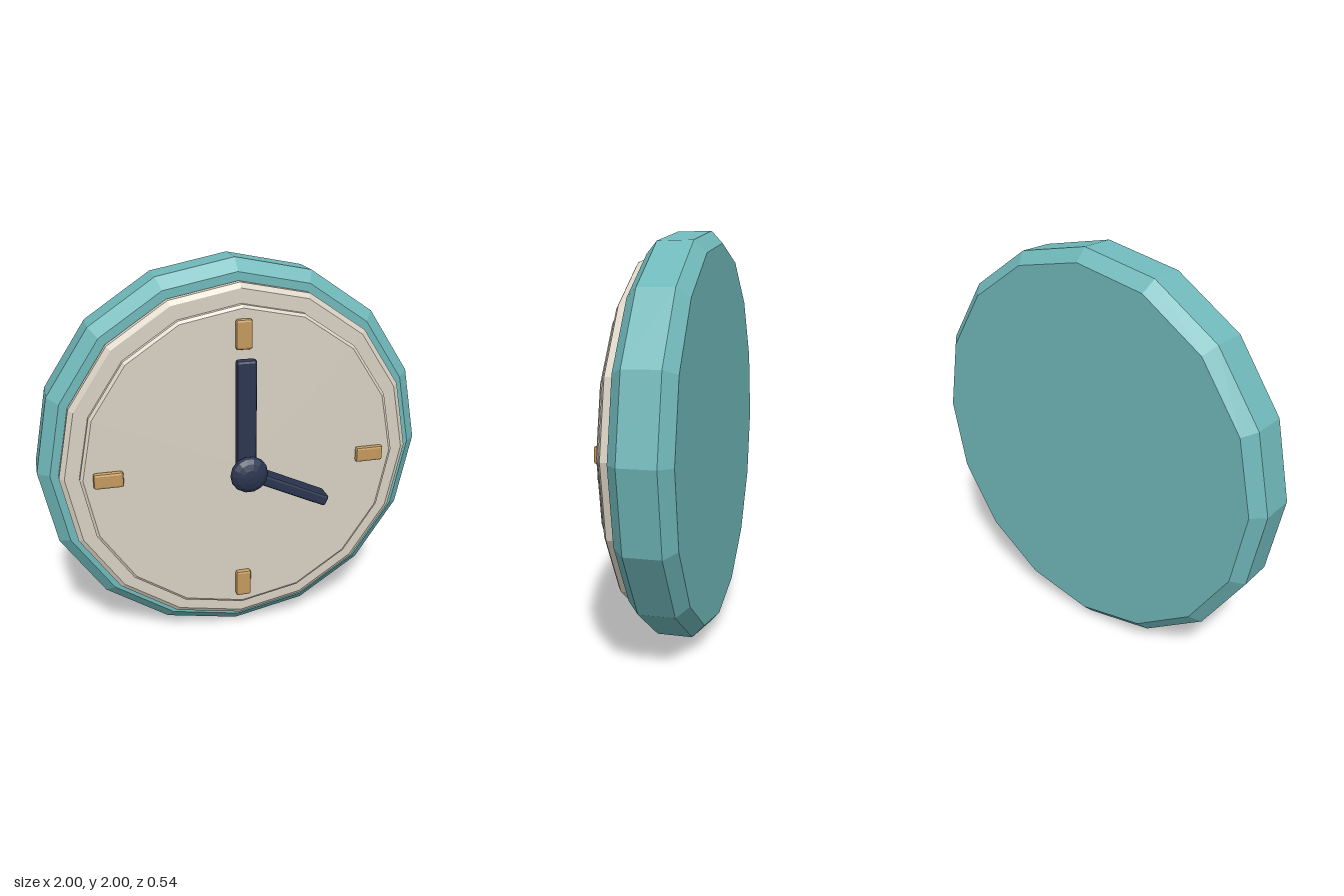
import * as THREE from 'three';
import { RoundedBoxGeometry } from 'three/addons/geometries/RoundedBoxGeometry.js';

function material(name, color) {
  const m = new THREE.MeshStandardMaterial({ color, flatShading: true });
  m.name = name;
  return m;
}

export function createModel() {
  const teal = material('teal', 0x70b8ba);
  const cream = material('cream', 0xd8d0c2);
  const brass = material('brass', 0xc2995c);
  const navy = material('navy', 0x2b3550);

  const clock = new THREE.Group();
  clock.name = 'wallClock';

  function add(name, geometry, mat, x = 0, y = 0, z = 0) {
    const mesh = new THREE.Mesh(geometry, mat);
    mesh.name = name;
    mesh.position.set(x, y + 1, z);
    clock.add(mesh);
    return mesh;
  }

  // Sixteen-sided disc facing +z, from [radius, z] points running back to front
  function disc(profile) {
    const points = profile.map(([r, z]) => new THREE.Vector2(r, z));
    return new THREE.LatheGeometry(points, 16).rotateX(Math.PI / 2);
  }

  // Case, stepped rim and dial
  add('case', disc([[0, -0.275], [0.94, -0.275], [1, -0.22], [1, -0.05], [0.94, 0.005], [0, 0.005]]), teal);
  add('rim', disc([[0.87, 0], [0.9, 0.015], [0.9, 0.05], [0.875, 0.066], [0, 0.066]]), cream);
  add('dial', disc([[0.79, 0.06], [0.805, 0.07], [0.805, 0.094], [0.79, 0.104], [0, 0.104]]), cream);

  // Quarter-hour markers
  for (let i = 0; i < 4; i++) {
    const a = i * Math.PI / 2;
    const marker = add('hourMarker', new RoundedBoxGeometry(0.08, 0.145, 0.034, 1, 0.012), brass,
      Math.sin(a) * 0.67, Math.cos(a) * 0.67, 0.118);
    marker.rotation.z = -a;
  }

  // Hands
  add('minuteHand', new RoundedBoxGeometry(0.1, 0.56, 0.05, 1, 0.014), navy, 0, 0.28, 0.16);
  const hourGeometry = new RoundedBoxGeometry(0.06, 0.45, 0.107, 1, 0.014);
  hourGeometry.translate(0, 0.225, 0);
  add('hourHand', hourGeometry, navy, 0, 0, 0.187).rotation.z = -THREE.MathUtils.degToRad(115);

  // Flattened hub cap
  const hub = new THREE.SphereGeometry(0.095, 14, 8).rotateX(Math.PI / 2);
  hub.scale(1, 1, 0.48);
  add('hub', hub, navy, 0, 0, 0.224);

  return clock;
}
